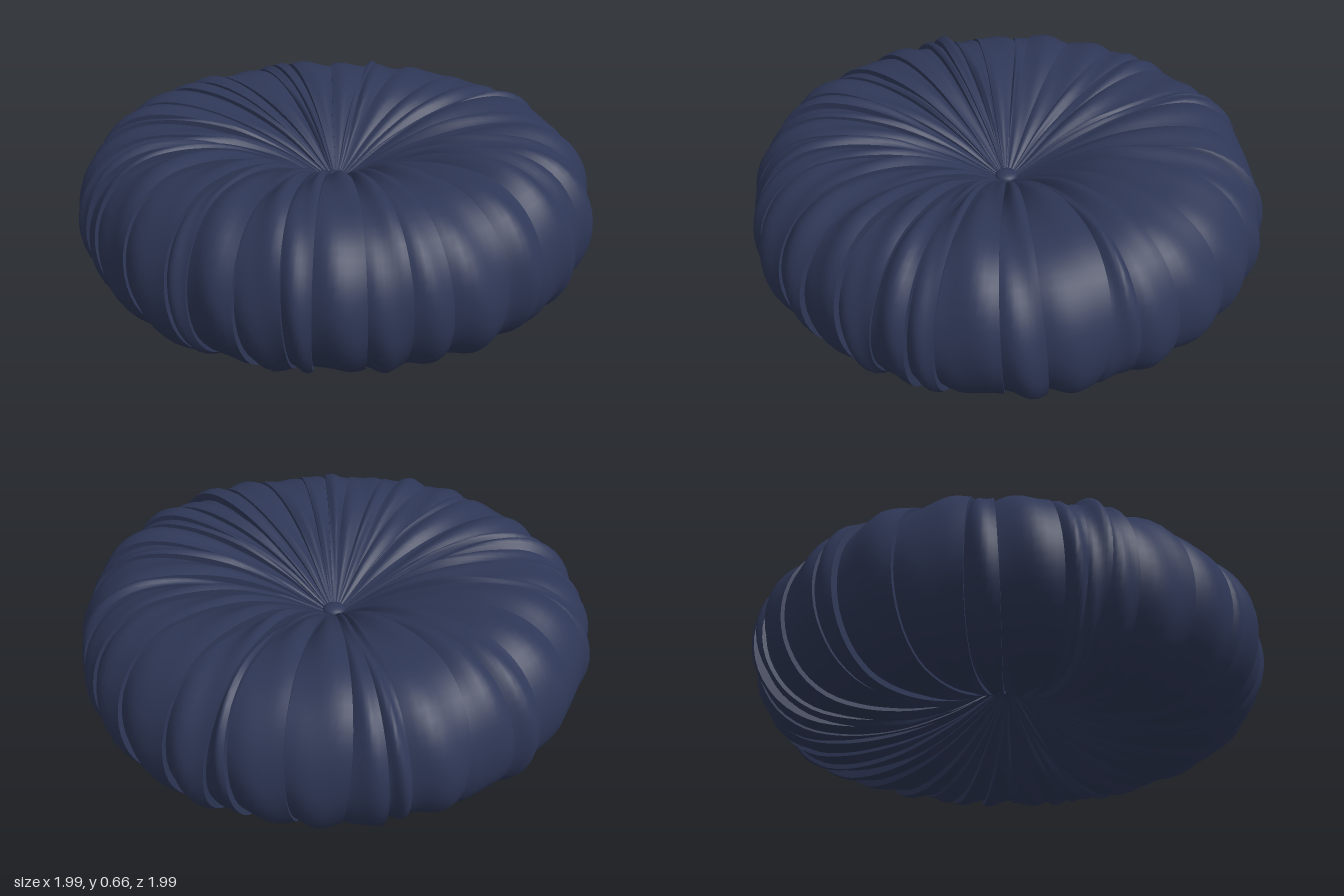
import * as THREE from 'three';

// Small seeded generator, so the folds are irregular but repeatable
function seeded(seed) {
  return () => {
    seed = (seed * 16807) % 2147483647;
    return seed / 2147483647;
  };
}

// Upper half of the cushion section, from rim to sunken centre: radius, height above mid plane
const upper = [
  [0.965, 0.08], [0.935, 0.155], [0.87, 0.235], [0.77, 0.288], [0.65, 0.3], [0.5, 0.282],
  [0.35, 0.238], [0.2, 0.172], [0.1, 0.112], [0.03, 0.07],
];
const MID = 0.318;
const section = new THREE.CatmullRomCurve3([
  ...upper.map(([r, h]) => new THREE.Vector3(r, MID - h, 0)).reverse(),
  new THREE.Vector3(0.975, MID, 0),
  ...upper.map(([r, h]) => new THREE.Vector3(r, MID + h, 0)),
]);
const ROWS = 56;
const profile = [];
for (let j = 0; j <= ROWS; j++) {
  const p = section.getPointAt(j / ROWS);
  const t = section.getTangentAt(j / ROWS);
  profile.push({ r: p.x, y: p.y, nr: t.y, ny: -t.x });
}

// Grid surface from a point function, columns by rows
function gridGeometry(columns, pointAt) {
  const positions = [];
  const index = [];
  for (let i = 0; i <= columns; i++) {
    for (let j = 0; j <= ROWS; j++) positions.push(...pointAt(i / columns, j));
  }
  const n = ROWS + 1;
  for (let i = 0; i < columns; i++) {
    for (let j = 0; j < ROWS; j++) {
      const a = i * n + j;
      index.push(a, a + n, a + n + 1, a, a + n + 1, a + 1);
    }
  }
  const geometry = new THREE.BufferGeometry();
  geometry.setAttribute('position', new THREE.Float32BufferAttribute(positions, 3));
  geometry.setIndex(index);
  geometry.computeVertexNormals();
  return geometry;
}

export function createModel() {
  const group = new THREE.Group();
  group.name = 'pleatedPouf';
  const navy = new THREE.MeshStandardMaterial({ color: 0x2e3756, side: THREE.DoubleSide });
  navy.name = 'navy fabric';
  const random = seeded(4217);

  // Pleats of uneven width round the cushion
  const COUNT = 38;
  const widths = Array.from({ length: COUNT }, () => 0.45 + 1.2 * random());
  const total = widths.reduce((sum, w) => sum + w, 0);
  let angle = 0;
  const pleats = widths.map((w) => {
    const pleat = {
      start: angle,
      lift: 0.012 + 0.02 * random(),
      slant: 0.05 * (random() - 0.5),
      phase: 6.28 * random(),
      dent: 0.008 + 0.01 * random(),
    };
    angle += (w / total) * Math.PI * 2;
    return pleat;
  });

  // Seam angle sways gently from the underside to the top
  const seamAngle = (k, j) => {
    const p = pleats[k % COUNT];
    const turn = k >= COUNT ? Math.PI * 2 : 0;
    const v = j / ROWS;
    return p.start + turn + p.slant * Math.sin(v * Math.PI * 2) + 0.012 * Math.sin(v * 9 + p.phase);
  };

  // Point on the cushion, pushed out along the section normal
  const place = (a, j, offset) => {
    const q = profile[j];
    const push = offset * Math.min(1, q.r / 0.4);
    const r = Math.max(0.015, q.r + q.nr * push);
    return [r * Math.sin(a), q.y + q.ny * push, r * Math.cos(a)];
  };

  // Each pleat rises from under its neighbour to a lifted hem
  const heightAt = (k, t, j) => {
    const p = pleats[k % COUNT];
    const v = j / ROWS;
    const fold = p.lift * t * (0.75 + 0.25 * Math.sin(v * 11 + p.phase));
    const puff = 0.012 * Math.sin(Math.PI * t);
    const dent = p.dent * Math.sin(Math.PI * t) * Math.sin(v * 17 + p.phase + t * 3);
    return -0.008 + fold + puff + dent;
  };

  for (let k = 0; k < COUNT; k++) {
    const panel = gridGeometry(8, (t, j) => {
      const a = THREE.MathUtils.lerp(seamAngle(k, j), seamAngle(k + 1, j), t);
      return place(a, j, heightAt(k, t, j));
    });
    const pleatMesh = new THREE.Mesh(panel, navy);
    pleatMesh.name = `pleat${k + 1}`;

    // Narrow hem closing the step down to the next pleat
    const hem = gridGeometry(1, (t, j) => {
      const high = heightAt(k, 1, j);
      const low = heightAt(k + 1, 0, j);
      return place(seamAngle(k + 1, j), j, THREE.MathUtils.lerp(high, low, t));
    });
    const hemMesh = new THREE.Mesh(hem, navy);
    hemMesh.name = `hem${k + 1}`;
    group.add(pleatMesh, hemMesh);
  }

  // Covered buttons holding the sunken centre, above and below
  for (const side of [1, -1]) {
    const button = new THREE.Mesh(new THREE.SphereGeometry(0.045, 20, 12), navy);
    button.name = side > 0 ? 'topButton' : 'bottomButton';
    button.scale.y = 0.5;
    button.position.y = MID + side * 0.078;
    group.add(button);
  }
  return group;
}
